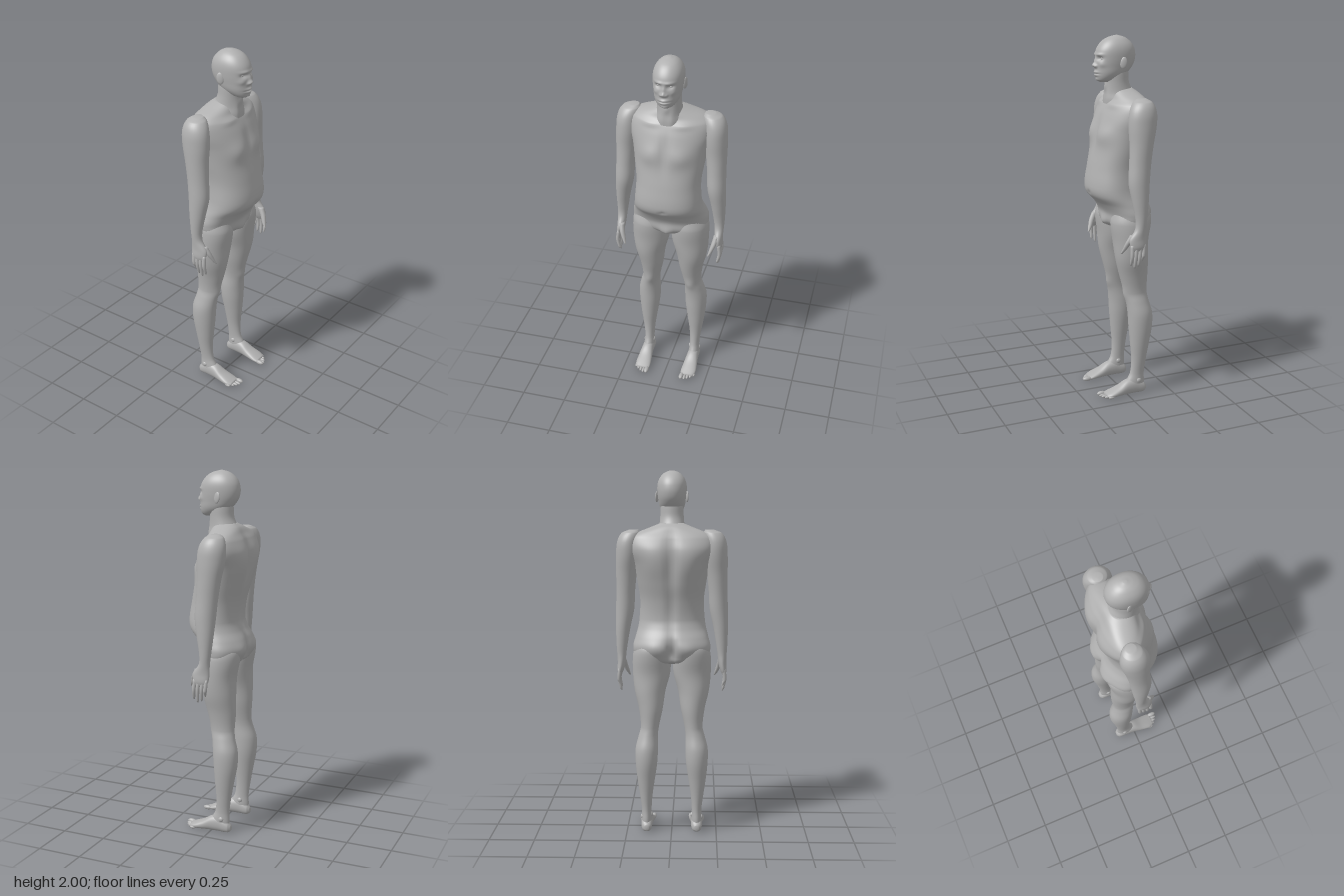
import * as THREE from 'three';

const skin = new THREE.MeshStandardMaterial({ color: 0xb0b0b0 });
skin.name = 'grey skin';

// Smooth loft through level oval sections [y, centreX, halfWidth, zFront, zBack, bow].
// Bow sweeps the sides backward. s = -1 mirrors the section centres.
function loft(rows, { s = 1, n = 32, steps = 5, power = 1, bumps = [] } = {}) {
  rows = [...rows].sort((a, b) => a[0] - b[0]);
  const slope = (i, k) => {
    const a = rows[Math.max(i - 1, 0)], b = rows[Math.min(i + 1, rows.length - 1)];
    return ((b[k] ?? 0) - (a[k] ?? 0)) / (b[0] - a[0]);
  };
  const rings = [];
  for (let i = 0; i < rows.length - 1; i++) {
    const h = rows[i + 1][0] - rows[i][0];
    for (let j = 0; j < steps; j++) {
      const t = j / steps, t2 = t * t, t3 = t2 * t;
      const ring = [rows[i][0] + h * t];
      for (let k = 1; k < 6; k++) {
        ring.push((2 * t3 - 3 * t2 + 1) * (rows[i][k] ?? 0) + (t3 - 2 * t2 + t) * h * slope(i, k)
          + (3 * t2 - 2 * t3) * (rows[i + 1][k] ?? 0) + (t3 - t2) * h * slope(i + 1, k));
      }
      rings.push(ring);
    }
  }
  const end = rows[rows.length - 1];
  rings.push([...end, 0].slice(0, 6));

  const pos = [], index = [];
  const soft = v => Math.sign(v) * Math.abs(v) ** power;
  const push = (x, y, z) => {
    // Local swellings and hollows: [x, y, z, radiusX, radiusY, radiusZ, dx, dy, dz]
    let ox = 0, oy = 0, oz = 0;
    for (const b of bumps) {
      const w = Math.exp(-(((x - b[0]) / b[3]) ** 2) - ((y - b[1]) / b[4]) ** 2 - ((z - b[2]) / b[5]) ** 2);
      ox += w * b[6]; oy += w * b[7]; oz += w * b[8];
    }
    pos.push(x + ox, y + oy, z + oz);
  };
  for (const [y, cx, rx, zf, zb, bow = 0] of rings) {
    for (let j = 0; j < n; j++) {
      const a = j / n * Math.PI * 2, sx = soft(Math.sin(a));
      push(s * cx + rx * sx, y, (zf + zb) / 2 + (zf - zb) / 2 * soft(Math.cos(a)) - bow * sx * sx);
    }
  }
  for (const r of [rings[0], rings[rings.length - 1]]) push(s * r[1], r[0], (r[3] + r[4]) / 2);
  const last = (rings.length - 1) * n, pole = rings.length * n;
  for (let j = 0; j < n; j++) {
    const k = (j + 1) % n;
    for (let i = 0; i < last; i += n) {
      index.push(i + j, i + k, i + n + k, i + j, i + n + k, i + n + j);
    }
    index.push(pole, k, j, pole + 1, last + j, last + k);
  }
  const g = new THREE.BufferGeometry();
  g.setAttribute('position', new THREE.Float32BufferAttribute(pos, 3));
  g.setIndex(index);
  g.computeVertexNormals();
  return g;
}

const both = list => list.flatMap(b => [b, [-b[0], ...b.slice(1, 6), -b[6], b[7], b[8]]]);

export function createModel() {
  const model = new THREE.Group();
  model.name = 'standing figure';
  const add = (name, geometry, parent = model) => {
    const m = new THREE.Mesh(geometry, skin);
    m.name = name;
    parent.add(m);
    return m;
  };
  const ball = (name, x, y, z, rx, ry, rz, parent) => {
    const m = add(name, new THREE.SphereGeometry(1, 20, 14), parent);
    m.position.set(x, y, z);
    m.scale.set(rx, ry, rz);
    return m;
  };

  // Torso with chest, belly, spine furrow and buttocks
  add('torso', loft([
    [0.955, 0, 0.1, 0.03, -0.08], [0.97, 0, 0.15, 0.055, -0.125], [1, 0, 0.2, 0.078, -0.146],
    [1.05, 0, 0.212, 0.085, -0.162], [1.1, 0, 0.2, 0.115, -0.152], [1.15, 0, 0.187, 0.16, -0.128],
    [1.2, 0, 0.18, 0.17, -0.115], [1.3, 0, 0.175, 0.155, -0.125], [1.4, 0, 0.188, 0.135, -0.15],
    [1.5, 0, 0.205, 0.122, -0.168, 0.01], [1.58, 0, 0.228, 0.098, -0.168, 0.02],
    [1.64, 0, 0.222, 0.07, -0.145, 0.02], [1.67, 0, 0.185, 0.05, -0.125, 0.02],
    [1.7, 0, 0.11, 0.04, -0.105, 0.01], [1.72, 0, 0.06, 0.03, -0.08],
  ], {
    n: 72, steps: 7, power: 0.9, bumps: [
      [0, 1.5, -0.17, 0.03, 0.16, 0.06, 0, 0, 0.022],
      [0, 1.25, -0.12, 0.025, 0.12, 0.05, 0, 0, 0.012],
      [0, 1.02, -0.16, 0.02, 0.07, 0.07, 0, 0, 0.045],
      [0, 1.5, 0.12, 0.022, 0.09, 0.05, 0, 0, -0.012],
      [0, 1.16, 0.165, 0.012, 0.012, 0.04, 0, 0, -0.008],
      [0, 1, 0.07, 0.03, 0.03, 0.04, 0, -0.012, 0.012],
      ...both([
        [0.09, 1.48, 0.12, 0.06, 0.05, 0.06, 0, 0, 0.012],
        [0.1, 1.52, -0.16, 0.06, 0.1, 0.05, 0, 0, -0.01],
        [0.09, 1.04, -0.15, 0.05, 0.05, 0.06, 0, 0, -0.012],
        [0.09, 1.64, 0.06, 0.05, 0.015, 0.04, 0, 0, 0.006],
      ]),
    ],
  }));

  // Neck
  add('neck', loft([
    [1.6, 0, 0.09, 0.07, -0.12], [1.66, 0, 0.082, 0.07, -0.105], [1.7, 0, 0.07, 0.066, -0.088],
    [1.75, 0, 0.064, 0.066, -0.066], [1.8, 0, 0.063, 0.07, -0.062], [1.85, 0, 0.06, 0.07, -0.06],
  ], {
    n: 40, bumps: [
      [0, 1.73, 0.066, 0.014, 0.02, 0.03, 0, 0, 0.006],
      ...both([[0.03, 1.67, 0.06, 0.014, 0.06, 0.04, 0, 0, 0.006]]),
    ],
  }));

  // Head and face relief
  const head = new THREE.Group();
  head.name = 'head';
  model.add(head);
  add('skull and face', loft([
    [1.757, 0, 0.025, 0.1, 0.04], [1.77, 0, 0.045, 0.115, 0.005], [1.8, 0, 0.065, 0.121, -0.05],
    [1.84, 0, 0.074, 0.122, -0.086], [1.88, 0, 0.079, 0.122, -0.1], [1.92, 0, 0.079, 0.116, -0.098],
    [1.95, 0, 0.071, 0.1, -0.085], [1.975, 0, 0.054, 0.075, -0.062],
    [1.99, 0, 0.034, 0.045, -0.037], [1.999, 0, 0.008, 0.012, -0.006],
  ], {
    n: 96, steps: 9, power: 0.93, bumps: [
      [0, 1.845, 0.12, 0.013, 0.012, 0.04, 0, 0, 0.018],
      [0, 1.868, 0.12, 0.01, 0.02, 0.04, 0, 0, 0.008],
      [0, 1.808, 0.12, 0.024, 0.007, 0.04, 0, 0, 0.01],
      [0, 1.793, 0.12, 0.022, 0.006, 0.04, 0, 0, 0.009],
      [0, 1.8005, 0.12, 0.025, 0.003, 0.04, 0, 0, -0.008],
      [0, 1.768, 0.115, 0.018, 0.01, 0.04, 0, 0, 0.005],
      ...both([
        [0.032, 1.882, 0.115, 0.018, 0.011, 0.04, 0, 0, -0.014],
        [0.03, 1.902, 0.115, 0.025, 0.007, 0.04, 0, 0, 0.006],
        [0.014, 1.84, 0.12, 0.007, 0.007, 0.04, 0.002, 0, 0.008],
        [0.045, 1.85, 0.1, 0.016, 0.014, 0.04, 0.002, 0, 0.004],
      ]),
    ],
  }), head);

  for (const s of [1, -1]) {
    const side = s > 0 ? 'left' : 'right';
    ball(side + 'Eye', s * 0.031, 1.882, 0.092, 0.013, 0.009, 0.012, head);
    const ear = ball(side + 'Ear', s * 0.081, 1.86, -0.005, 0.007, 0.031, 0.019, head);
    ear.rotation.set(-0.15, s * -0.35, 0);

    // Arm from shoulder to palm
    const arm = new THREE.Group();
    arm.name = side + 'Arm';
    model.add(arm);
    add('upper arm, forearm and palm', loft([
      [1.685, 0.205, 0.025, -0.03, -0.08], [1.668, 0.22, 0.05, 0, -0.105], [1.62, 0.235, 0.06, 0.025, -0.122],
      [1.55, 0.24, 0.062, 0.033, -0.12], [1.45, 0.247, 0.056, 0.03, -0.1], [1.35, 0.252, 0.051, 0.034, -0.085],
      [1.25, 0.257, 0.05, 0.04, -0.075], [1.15, 0.268, 0.04, 0.025, -0.066], [1.05, 0.275, 0.03, 0.008, -0.055],
      [1, 0.277, 0.025, 0.012, -0.05], [0.95, 0.279, 0.022, 0.044, -0.05], [0.91, 0.285, 0.018, 0.042, -0.046],
      [0.885, 0.288, 0.01, 0.03, -0.035],
    ], { s }), arm);

    // Four fingers, then the thumb reaching forward and inward
    [0.032, 0.01, -0.013, -0.034].forEach((z, i) => {
      const tip = [0.805, 0.788, 0.798, 0.825][i];
      add('finger', loft([
        [0.92, 0.286, 0.011, z + 0.011, z - 0.011], [0.86, 0.293, 0.01, z + 0.014, z - 0.007],
        [tip + 0.012, 0.284, 0.007, z + 0.014, z], [tip, 0.28, 0.003, z + 0.01, z + 0.004],
      ], { s, n: 10, steps: 4 }), arm);
    });
    add('thumb', loft([
      [0.97, 0.27, 0.014, 0.04, 0], [0.93, 0.262, 0.014, 0.06, 0.028],
      [0.89, 0.248, 0.01, 0.073, 0.05], [0.865, 0.237, 0.004, 0.08, 0.07],
    ], { s, n: 12 }), arm);

    // Leg from hip to ankle
    const leg = new THREE.Group();
    leg.name = side + 'Leg';
    model.add(leg);
    add('thigh and calf', loft([
      [1.12, 0.1, 0.06, 0.05, -0.1], [1.05, 0.108, 0.092, 0.068, -0.145], [1, 0.11, 0.104, 0.078, -0.148],
      [0.9, 0.112, 0.103, 0.066, -0.13], [0.8, 0.12, 0.085, 0.055, -0.13], [0.7, 0.116, 0.066, 0.032, -0.13],
      [0.6, 0.121, 0.05, 0.006, -0.125], [0.55, 0.13, 0.053, -0.002, -0.132], [0.48, 0.138, 0.062, -0.01, -0.15],
      [0.4, 0.14, 0.06, -0.015, -0.15], [0.3, 0.142, 0.048, -0.023, -0.132], [0.2, 0.142, 0.034, -0.03, -0.115],
      [0.12, 0.14, 0.027, -0.022, -0.105], [0.06, 0.14, 0.03, 0.005, -0.106], [0.015, 0.14, 0.024, -0.02, -0.1],
    ], { s, n: 40, bumps: [[s * 0.12, 0.59, 0, 0.03, 0.035, 0.04, 0, 0, 0.008]] }), leg);
    ball('inner ankle', s * 0.115, 0.09, -0.06, 0.01, 0.015, 0.015, leg);
    ball('outer ankle', s * 0.165, 0.08, -0.065, 0.01, 0.015, 0.015, leg);

    // Foot, lofted from heel to toes and laid down
    add('foot', loft([
      [-0.116, 0.14, 0.012, -0.012, -0.04], [-0.1, 0.14, 0.027, -0.001, -0.06], [-0.05, 0.14, 0.032, 0, -0.09],
      [0, 0.14, 0.035, 0, -0.085], [0.05, 0.14, 0.041, 0, -0.056], [0.1, 0.139, 0.044, 0, -0.034],
      [0.128, 0.134, 0.036, -0.002, -0.022],
    ], { s, power: 0.9 }).rotateX(Math.PI / 2), leg);
    for (let i = 0; i < 5; i++) {
      const r = i ? 0.0085 : 0.013;
      ball('toe', s * (0.107 + i * 0.0165 + (i ? 0.003 : 0)), r, 0.141 - i * i * 0.0022, r, r, 0.026 - i * 0.002, leg);
    }
  }
  return model;
}
